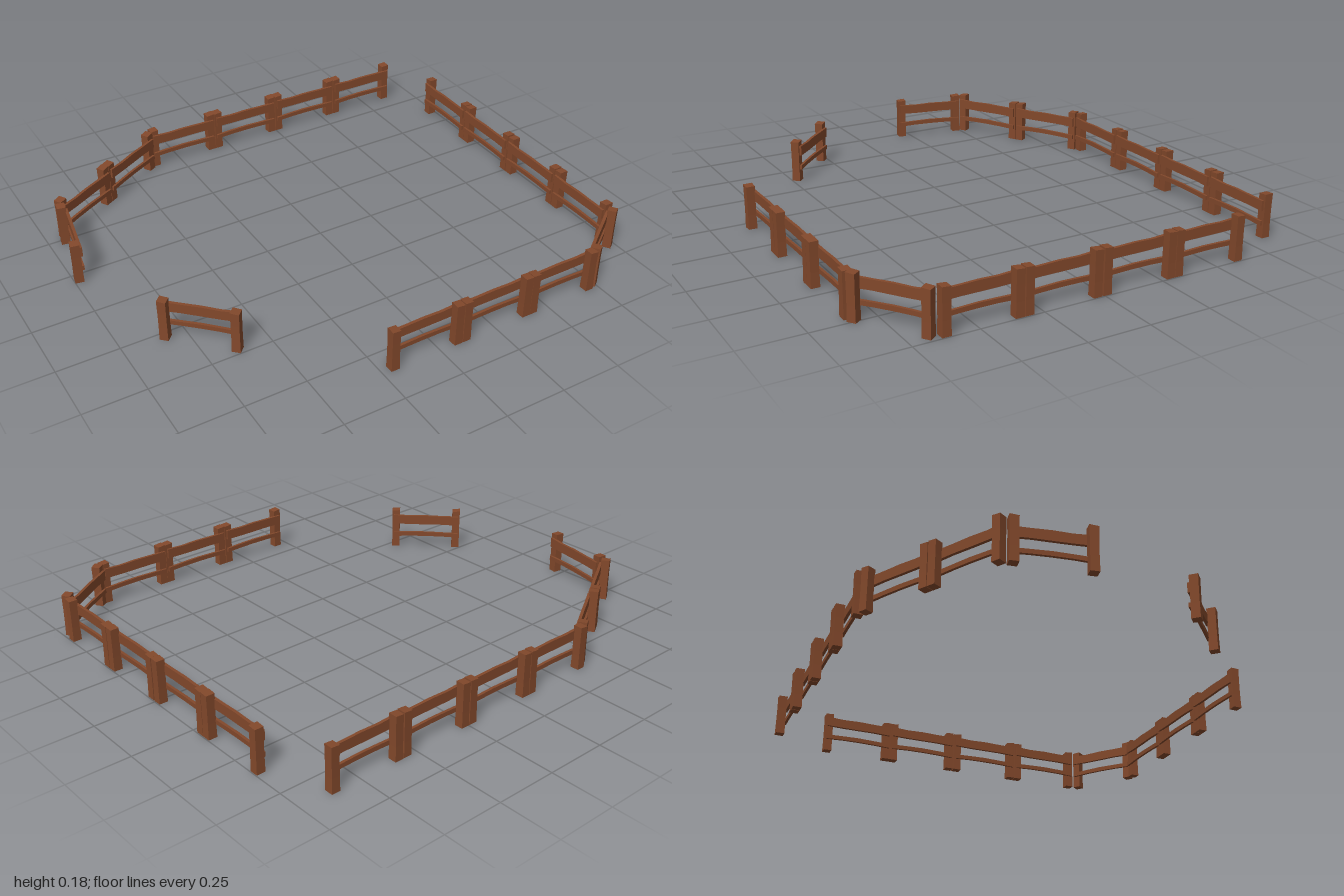
import * as THREE from 'three';

const wood = new THREE.MeshStandardMaterial({ color: 0x82482b });

// Box whose vertices are shifted by a rule, with faceted normals
function carvedBox(w, h, d, segX, segY, rule) {
  const box = new THREE.BoxGeometry(w, h, d, segX, segY, 1);
  const p = box.attributes.position;
  const v = new THREE.Vector3();
  for (let i = 0; i < p.count; i++) {
    v.fromBufferAttribute(p, i);
    rule(v);
    p.setXYZ(i, v.x, v.y, v.z);
  }
  const flat = box.toNonIndexed();
  flat.computeVertexNormals();
  return flat;
}

// Rough-hewn post, a little narrower at mid height and with an uneven top
const postGeo = carvedBox(0.035, 0.18, 0.036, 1, 3, (v) => {
  if (Math.abs(v.y) < 0.05) { v.x *= 0.95; v.z *= 0.95; }
  if (v.y > 0.08) v.y -= v.x > 0 ? 0.003 : 0;
  v.y += 0.09;
});

// Rails, slightly warped along their length
const warpedRail = (h, d, y, warp) => carvedBox(0.298, h, d, 4, 1, (v) => {
  const i = Math.round(v.x / 0.0745) + 2;
  v.y = v.y * (1 - 0.06 * (i % 2)) + y + warp[i];
});
const topRailGeo = warpedRail(0.042, 0.012, 0.135, [-0.002, 0, 0.001, 0, 0.003]);
const lowRailGeo = warpedRail(0.019, 0.011, 0.063, [-0.002, 0.001, 0.003, 0.002, -0.001]);

function part(name, geometry, x, z) {
  const mesh = new THREE.Mesh(geometry, wood);
  mesh.name = name;
  mesh.position.set(x, 0, z);
  return mesh;
}

// One panel between two post centres; the rails sit on the inner side
function panel([ax, az, bx, bz]) {
  const g = new THREE.Group();
  g.name = 'fencePanel';
  const half = Math.hypot(bx - ax, bz - az) / 2;
  g.add(
    part('startPost', postGeo, -half, 0),
    part('endPost', postGeo, half, 0),
    part('topRail', topRailGeo, 0, -0.021),
    part('lowerRail', lowRailGeo, 0, -0.021)
  );
  g.position.set((ax + bx) / 2, 0, (az + bz) / 2);
  g.rotation.y = Math.atan2(az - bz, bx - ax);
  return g;
}

export function createModel() {
  const fence = new THREE.Group();
  fence.name = 'fence';
  const panels = [];
  // Front row
  for (const x of [-0.2, 0.115, 0.428]) panels.push([x, 0.845, x + 0.278, 0.845]);
  // Front left corner
  panels.push([0.742, 0.834, 0.967, 0.674]);
  // Left side
  for (const z of [0.623, 0.307, -0.011, -0.325]) panels.push([0.979, z, 0.979, z - 0.278]);
  // Back row
  for (const x of [0.861, 0.544, 0.228, -0.087]) panels.push([x, -0.848, x - 0.278, -0.848]);
  // Curve round the back right corner
  panels.push([-0.404, -0.828, -0.645, -0.688], [-0.677, -0.669, -0.918, -0.529]);
  panels.push([-0.933, -0.484, -0.98, -0.211]);
  // Lone panel in the opening
  panels.push([-0.831, 0.278, -0.633, 0.474]);
  panels.forEach((p) => fence.add(panel(p)));
  return fence;
}
